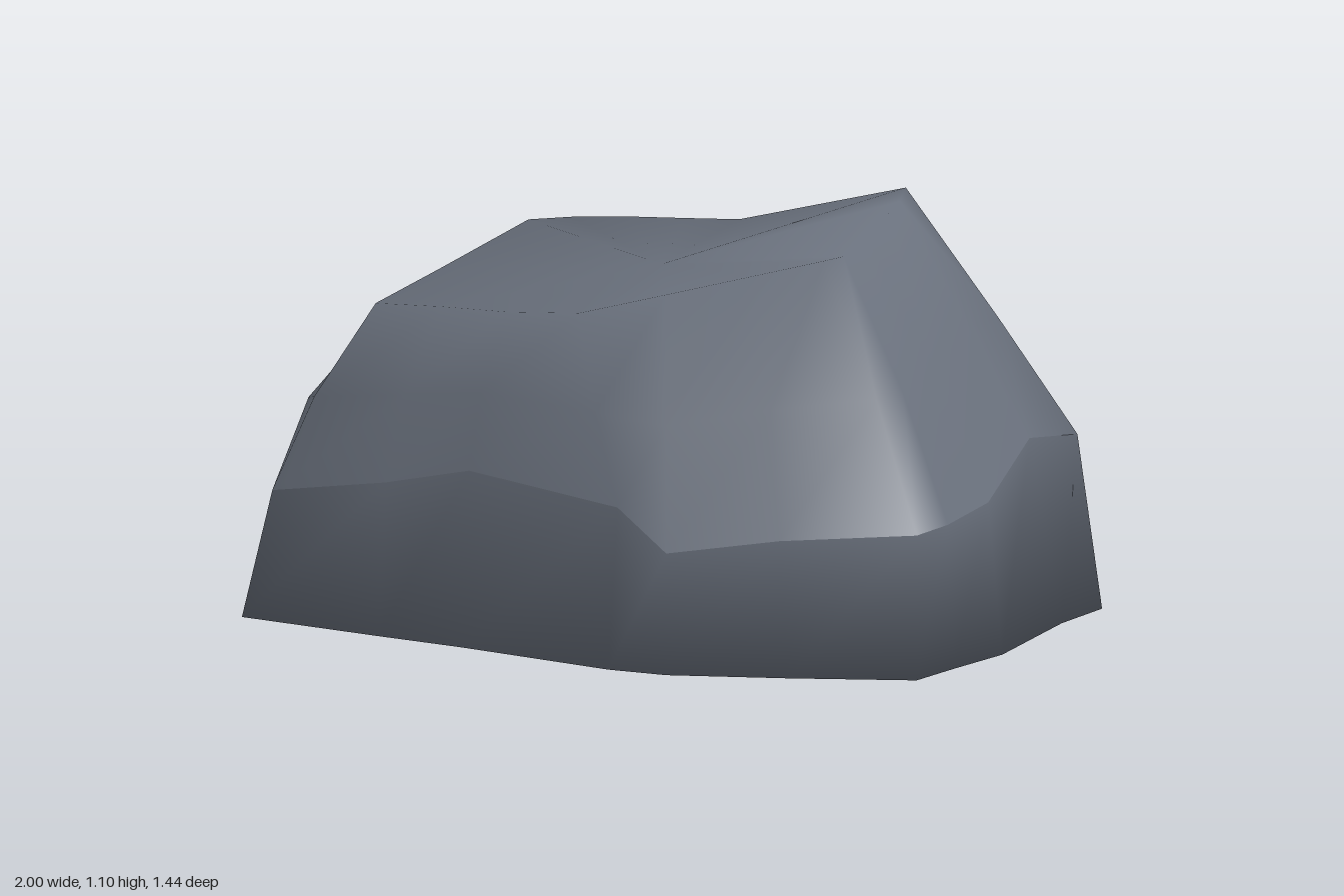
import * as THREE from 'three';

// One column per row, going round from +x through +z:
// foot x,z | seam x,y,z | crown x,y,z
const COLUMNS = [
  [1.0, 0.1, 0.96, 0.4, 0.1, 0.585, 1.045, 0.05],
  [0.97, 0.3, 0.95, 0.38, 0.3, 0.6, 1.02, 0.2],
  [0.95, 0.47, 0.94, 0.38, 0.45, 0.56, 1.01, 0.23],
  [0.65, 0.6, 0.62, 0.36, 0.59, 0.4, 0.97, 0.31],
  [0.36, 0.71, 0.35, 0.32, 0.69, 0.2, 0.92, 0.41],
  [0.2, 0.72, 0.2, 0.42, 0.67, 0, 0.87, 0.5],
  [-0.25, 0.66, -0.25, 0.46, 0.62, -0.22, 0.845, 0.47],
  [-0.5, 0.64, -0.5, 0.4, 0.6, -0.45, 0.82, 0.39],
  [-0.91, 0.6, -0.86, 0.33, 0.53, -0.68, 0.79, 0.31],
  [-0.97, 0.2, -0.93, 0.5, 0.2, -0.6, 0.85, 0.11],
  [-1.0, -0.08, -0.93, 0.45, -0.09, -0.48, 0.94, -0.14],
  [-0.93, -0.25, -0.91, 0.36, -0.35, -0.44, 0.92, -0.3],
  [-0.82, -0.69, -0.81, 0.3, -0.7, -0.38, 0.89, -0.49],
  [-0.3, -0.71, -0.3, 0.36, -0.72, -0.2, 0.91, -0.46],
  [0.1, -0.7, 0.08, 0.41, -0.69, -0.03, 0.93, -0.43],
  [0.53, -0.68, 0.5, 0.4, -0.68, 0.53, 1.1, -0.27],
  [0.97, -0.5, 0.91, 0.46, -0.48, 0.55, 1.08, -0.2],
  [0.96, -0.3, 0.91, 0.5, -0.22, 0.57, 1.07, -0.1],
];

// Joins rings from bottom to top, with an optional centre point closing either end
function loft(rings, bottomCentre, topCentre) {
  const n = rings[0].length;
  const points = rings.flat();
  const index = [];
  for (let r = 0; r < rings.length - 1; r++) {
    for (let i = 0; i < n; i++) {
      const j = (i + 1) % n;
      const a = r * n + i, b = r * n + j, c = a + n, d = b + n;
      index.push(a, c, b, b, c, d);
    }
  }
  const close = (centre, start, up) => {
    const k = points.push(centre) - 1;
    for (let i = 0; i < n; i++) {
      const a = start + i, b = start + ((i + 1) % n);
      if (up) index.push(a, k, b);
      else index.push(a, b, k);
    }
  };
  if (bottomCentre) close(bottomCentre, 0, false);
  if (topCentre) close(topCentre, (rings.length - 1) * n, true);
  const geometry = new THREE.BufferGeometry().setFromPoints(points);
  geometry.setIndex(index);
  geometry.computeVertexNormals();
  return geometry;
}

export function createModel() {
  const group = new THREE.Group();
  group.name = 'boulder';
  const stone = new THREE.MeshStandardMaterial({ color: 0x69707c, side: THREE.DoubleSide });
  stone.name = 'slate grey stone';

  const V = (x, y, z) => new THREE.Vector3(x, y, z);
  const foot = COLUMNS.map(([x, z]) => V(x, 0.01, z));
  const seam = COLUMNS.map((c) => V(c[2], c[3], c[4]));
  const crown = COLUMNS.map((c) => V(c[5], c[6], c[7]));

  // Slightly swollen slope halfway between the seam and the crown
  const slope = seam.map((p, i) => {
    const q = p.clone().lerp(crown[i], 0.5);
    return q.addScaledVector(V(q.x, 0, q.z).normalize(), 0.025);
  });
  // Middle of the shallow valley where the two top planes meet
  const valley = V(-0.01, 0.905, 0.03);

  const base = new THREE.Mesh(loft([foot, seam], V(0, 0, 0), null), stone);
  base.name = 'lowerRock';
  const cap = new THREE.Mesh(loft([seam, slope, crown], null, valley), stone);
  cap.name = 'upperRock';
  group.add(base, cap);
  return group;
}
